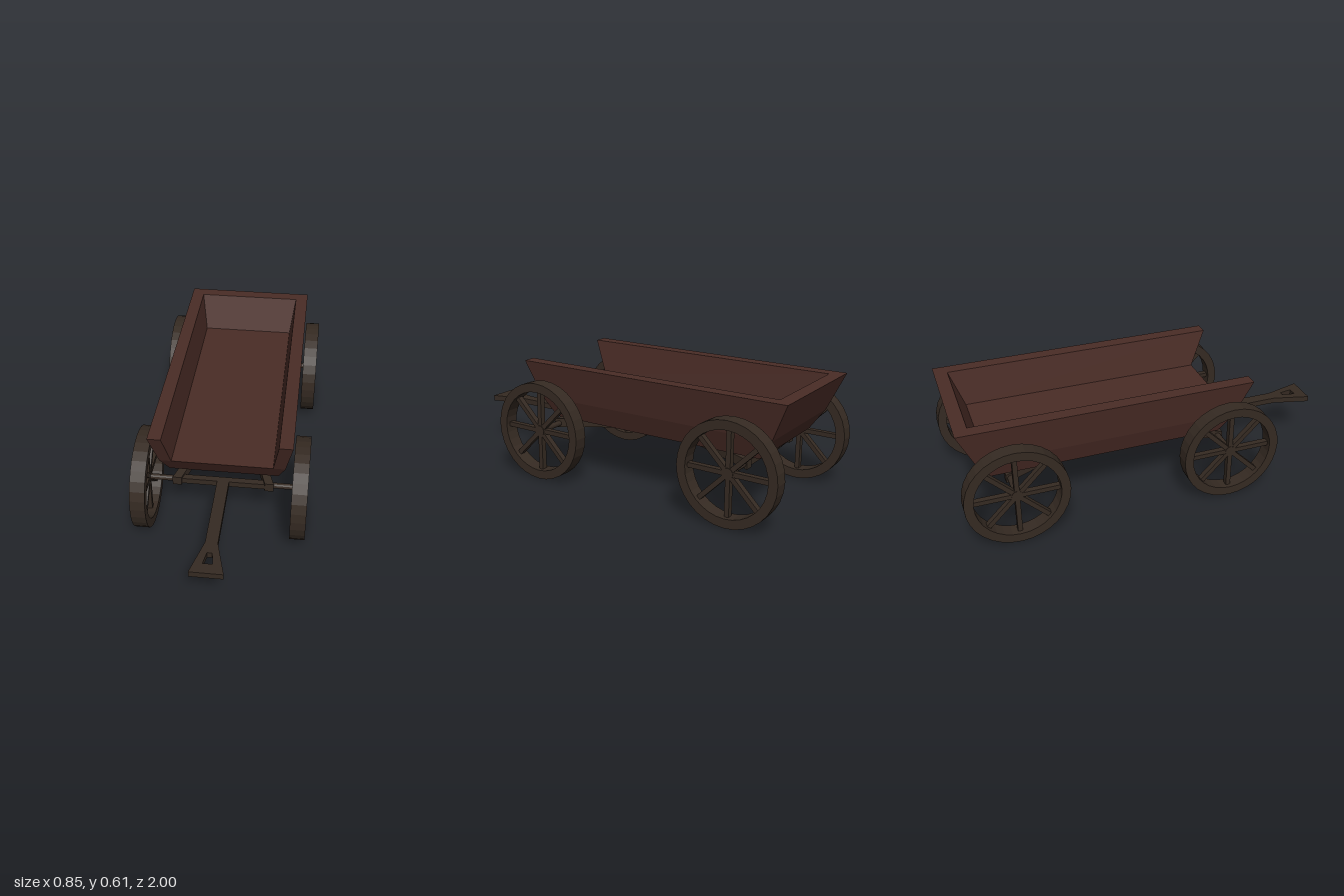
import * as THREE from 'three';

const bodyWood = new THREE.MeshStandardMaterial({ color: 0x4a2c26, flatShading: true });
const darkWood = new THREE.MeshStandardMaterial({ color: 0x352a22, flatShading: true });

const FRONT_Z = 0.364, REAR_Z = -0.744, AXLE_Y = 0.258, WHEEL_R = 0.258;

function add(parent, name, geometry, material) {
  const mesh = new THREE.Mesh(geometry, material);
  mesh.name = name;
  parent.add(mesh);
  return mesh;
}

// Solid between a lower and an upper ring of [x, y, z] corners, in either winding
function prism(lower, upper) {
  const n = lower.length;
  let area = 0;
  lower.forEach((p, i) => {
    const q = lower[(i + 1) % n];
    area += p[0] * q[2] - q[0] * p[2];
  });
  if (area > 0) {
    lower = [...lower].reverse();
    upper = [...upper].reverse();
  }
  const pos = [];
  const tri = (a, b, c) => pos.push(...a, ...b, ...c);
  for (let i = 0; i < n; i++) {
    const j = (i + 1) % n;
    tri(lower[i], lower[j], upper[j]);
    tri(lower[i], upper[j], upper[i]);
    if (i > 0 && i < n - 1) {
      tri(upper[0], upper[i], upper[i + 1]);
      tri(lower[0], lower[i + 1], lower[i]);
    }
  }
  const geometry = new THREE.BufferGeometry();
  geometry.setAttribute('position', new THREE.Float32BufferAttribute(pos, 3));
  geometry.computeVertexNormals();
  return geometry;
}

const rect = (hx, y, z0, z1) => [[hx, y, z1], [hx, y, z0], [-hx, y, z0], [-hx, y, z1]];

// Open-fronted tub with flared walls
function makeBody() {
  const body = new THREE.Group();
  body.name = 'body';
  const yB = 0.31, yF = 0.415, yT = 0.605;
  add(body, 'floor', prism(rect(0.275, yB, -0.84, 0.35), rect(0.31, yF, -0.91, 0.42)), bodyWood);
  for (const s of [1, -1]) {
    add(body, s > 0 ? 'leftWall' : 'rightWall', prism(
      [[s * 0.31, yF, 0.42], [s * 0.31, yF, -0.91], [s * 0.25, yF, -0.855], [s * 0.25, yF, 0.42]],
      [[s * 0.345, yT, 0.5], [s * 0.345, yT, -0.993], [s * 0.278, yT, -0.925], [s * 0.278, yT, 0.5]]
    ), bodyWood);
  }
  add(body, 'rearWall', prism(
    [[0.25, yF, -0.855], [0.31, yF, -0.91], [-0.31, yF, -0.91], [-0.25, yF, -0.855]],
    [[0.278, yT, -0.925], [0.345, yT, -0.993], [-0.345, yT, -0.993], [-0.278, yT, -0.925]]
  ), bodyWood);
  return body;
}

// Rim with eight spokes and a small hub, centred on the x axis
function makeWheel(name) {
  const wheel = new THREE.Group();
  wheel.name = name;
  const ring = new THREE.Shape().absarc(0, 0, WHEEL_R, 0, Math.PI * 2);
  ring.holes.push(new THREE.Path().absarc(0, 0, 0.212, 0, Math.PI * 2, true));
  const rim = new THREE.ExtrudeGeometry(ring, { depth: 0.075, bevelEnabled: false, curveSegments: 16 });
  rim.translate(0, 0, -0.0375).rotateY(Math.PI / 2);
  add(wheel, 'rim', rim, darkWood);
  for (let i = 0; i < 4; i++) {
    const spoke = add(wheel, 'spokePair', new THREE.BoxGeometry(0.03, 0.44, 0.024), darkWood);
    spoke.rotation.x = i * Math.PI / 4;
  }
  add(wheel, 'hub', new THREE.CylinderGeometry(0.028, 0.028, 0.036, 12).rotateZ(Math.PI / 2), darkWood);
  return wheel;
}

// Axle, crossbar and converging struts; dir is the side on which the struts run
function makeUndercarriage(name, z, dir) {
  const group = new THREE.Group();
  group.name = name;
  const axle = add(group, 'axle', new THREE.CylinderGeometry(0.015, 0.015, 0.76, 12).rotateZ(Math.PI / 2), darkWood);
  axle.position.set(0, AXLE_Y, z);
  const bar = add(group, 'crossbar', new THREE.BoxGeometry(0.44, 0.03, 0.034), darkWood);
  bar.position.set(0, AXLE_Y, z);
  const start = z - dir * 0.022, inner = z + dir * 0.455, end = z + dir * 0.495;
  const raise = (ring, h) => ring.map(([x, y, w]) => [x, y + h, w]);
  for (const s of [1, -1]) {
    const ring = [[s * 0.255, 0.236, start], [s * 0.21, 0.236, start],
      [s * 0.06, 0.277, inner], [s * 0.085, 0.28, end]];
    add(group, 'strut', prism(ring, raise(ring, 0.046)), darkWood);
  }
  const joint = [[0.06, 0.277, inner], [-0.06, 0.277, inner], [-0.085, 0.28, end], [0.085, 0.28, end]];
  add(group, 'strutJoint', prism(joint, raise(joint, 0.046)), darkWood);
  return group;
}

// Flat pull bar flaring into a slotted end
function makeTongue() {
  const shape = new THREE.Shape();
  [[-0.03, FRONT_Z], [0.03, FRONT_Z], [0.03, 0.81], [0.08, 1], [-0.08, 1], [-0.03, 0.81]]
    .forEach(([x, z], i) => (i ? shape.lineTo(x, z) : shape.moveTo(x, z)));
  shape.closePath();
  const slot = new THREE.Path();
  [[-0.012, 0.875], [-0.023, 0.942], [0.023, 0.942], [0.012, 0.875]]
    .forEach(([x, z], i) => (i ? slot.lineTo(x, z) : slot.moveTo(x, z)));
  slot.closePath();
  shape.holes.push(slot);
  const geometry = new THREE.ExtrudeGeometry(shape, { depth: 0.03, bevelEnabled: false });
  return geometry.rotateX(Math.PI / 2).translate(0, 0.274, 0);
}

export function createModel() {
  const wagon = new THREE.Group();
  wagon.name = 'wagon';
  wagon.add(makeBody());
  wagon.add(makeUndercarriage('frontUndercarriage', FRONT_Z, -1));
  wagon.add(makeUndercarriage('rearUndercarriage', REAR_Z, 1));
  add(wagon, 'tongue', makeTongue(), darkWood);
  for (const [end, z] of [['front', FRONT_Z], ['rear', REAR_Z]]) {
    for (const [side, x] of [['Left', 0.3875], ['Right', -0.3875]]) {
      const wheel = makeWheel(`${end}${side}Wheel`);
      wheel.position.set(x, AXLE_Y, z);
      wagon.add(wheel);
    }
  }
  return wagon;
}
